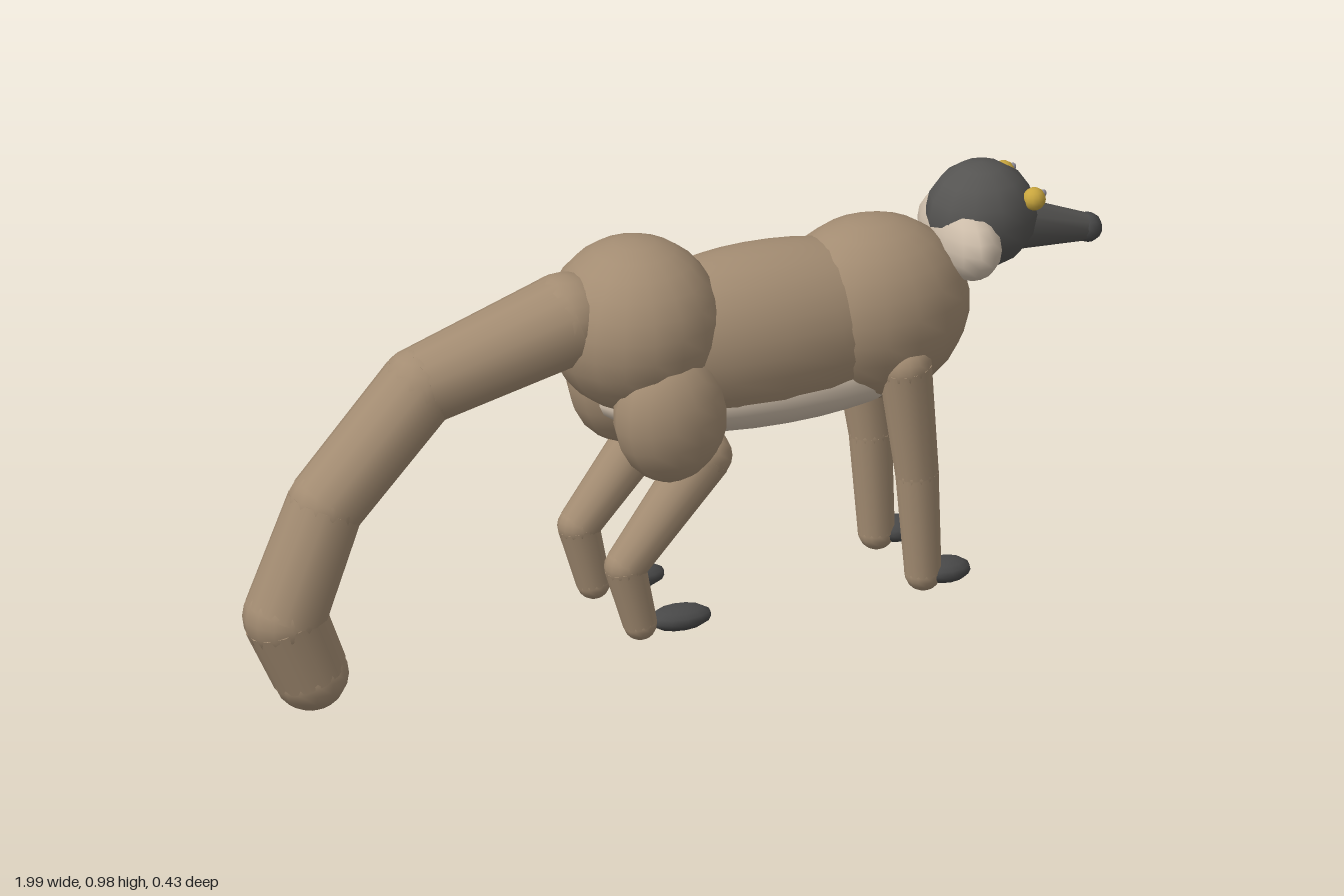
import * as THREE from 'three';

export function createModel() {
  const model = new THREE.Group();
  model.name = 'longTailedAnimal';

  const paint = (name, color) => {
    const m = new THREE.MeshStandardMaterial({ color });
    m.name = name;
    return m;
  };
  const fur = paint('brown fur', 0xa38c72);
  const pale = paint('pale fur', 0xcdbdaa);
  const dark = paint('dark face', 0x555452);
  const nose = paint('dark nose', 0x484848);
  const gold = paint('gold eye', 0xc9a63e);
  const glint = paint('eye dot', 0x8c8894);

  // Scaled sphere; tilt turns it about z
  function blob(name, mat, pos, radii, tilt = 0, seg = 14) {
    const mesh = new THREE.Mesh(new THREE.SphereGeometry(1, seg, Math.round(seg * 0.7)), mat);
    mesh.name = name;
    mesh.position.set(...pos);
    mesh.scale.set(...radii);
    mesh.rotation.z = tilt;
    model.add(mesh);
    return mesh;
  }

  // Tapered limb between two points
  function limb(name, mat, a, b, ra, rb, seg = 14) {
    const from = new THREE.Vector3(...a), to = new THREE.Vector3(...b);
    const dir = to.clone().sub(from);
    const mesh = new THREE.Mesh(new THREE.CylinderGeometry(rb, ra, dir.length(), seg), mat);
    mesh.name = name;
    mesh.position.copy(from).addScaledVector(dir, 0.5);
    mesh.quaternion.setFromUnitVectors(new THREE.Vector3(0, 1, 0), dir.normalize());
    model.add(mesh);
  }

  // Chain of limbs with round joints; each node is [x, y, z, radius]
  function chain(name, nodes) {
    nodes.forEach(([x, y, z, r], i) => {
      blob(name + 'Joint' + i, fur, [x, y, z], [r, r, r]);
      if (i) {
        const p = nodes[i - 1];
        limb(name + 'Segment' + i, fur, p.slice(0, 3), [x, y, z], p[3], r);
      }
    });
  }

  // Body
  blob('rump', fur, [-0.09, 0.76, 0], [0.19, 0.19, 0.19], 0, 18);
  blob('torso', fur, [0.2, 0.69, 0], [0.42, 0.193, 0.17], 0, 20);
  blob('chest', fur, [0.46, 0.7, 0], [0.22, 0.203, 0.18], 0, 18);
  blob('belly', pale, [0.23, 0.578, 0], [0.4, 0.095, 0.143], 0, 20);

  // Head
  blob('head', dark, [0.72, 0.867, 0], [0.121, 0.118, 0.117], 0, 12);
  blob('cheekRuff', pale, [0.67, 0.828, 0], [0.072, 0.092, 0.152], 0, 14);
  limb('snout', dark, [0.76, 0.838, 0], [0.97, 0.79, 0], 0.063, 0.029, 10);
  blob('noseTip', nose, [0.968, 0.79, 0], [0.032, 0.032, 0.034], 0, 10);

  // Tail
  chain('tail', [
    [-0.25, 0.795, 0, 0.102],
    [-0.59, 0.7, 0, 0.087],
    [-0.81, 0.465, 0, 0.084],
    [-0.905, 0.225, 0, 0.09],
    [-0.845, 0.085, 0, 0.083],
  ]);

  // Mirrored parts
  for (const s of [1, -1]) {
    const side = s > 0 ? 'left' : 'right';
    const z = s * 0.12;

    blob(side + 'Eye', gold, [0.808, 0.915, s * 0.079], [0.025, 0.025, 0.025], 0, 12);
    blob(side + 'EyeDot', glint, [0.829, 0.924, s * 0.078], [0.008, 0.008, 0.008], 0, 8);

    chain(side + 'FrontLeg', [
      [0.485, 0.605, s * 0.127, 0.058],
      [0.516, 0.35, z, 0.047],
      [0.53, 0.117, z, 0.04],
    ]);
    blob(side + 'FrontFoot', nose, [0.58, 0.115, z], [0.058, 0.026, 0.047], 0, 12);

    blob(side + 'Thigh', fur, [-0.06, 0.585, z], [0.126, 0.15, 0.1], 0.12, 14);
    chain(side + 'HindLeg', [
      [0.02, 0.48, z, 0.06],
      [-0.165, 0.255, z, 0.045],
      [-0.13, 0.118, z, 0.037],
    ]);
    blob(side + 'HindFoot', nose, [-0.037, 0.115, z], [0.072, 0.026, 0.045], 0, 12);
  }

  return model;
}
